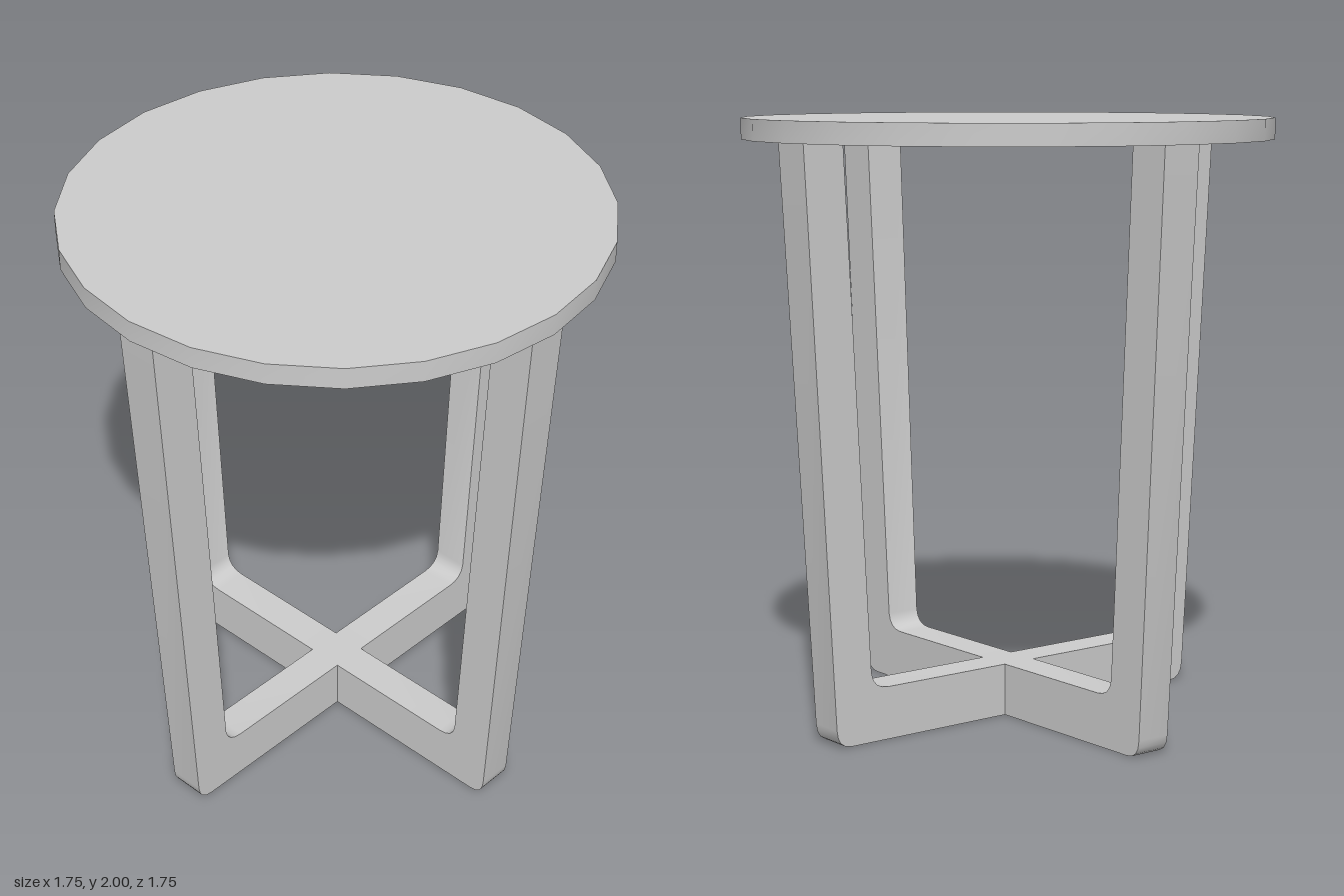
import * as THREE from 'three';
import { toCreasedNormals } from 'three/addons/utils/BufferGeometryUtils.js';

const TOP_Y = 1.93;   // underside of the table top
const BAR_Y = 0.175;  // upper face of the crossed foot bars
const HALF = 0.06;    // half the thickness at the floor

// Half-thickness grows slightly towards the top of a leg
const halfAt = (y) => HALF + 0.01 * (y / TOP_Y);

// L-shaped leg: foot bar and upright with rounded bends, running out along +x
function legGeometry() {
  const s = new THREE.Shape();
  s.moveTo(HALF, 0);
  s.lineTo(0.685, 0);
  s.quadraticCurveTo(0.74, 0, 0.743, 0.06);
  s.lineTo(0.852, TOP_Y);
  s.lineTo(0.705, TOP_Y);
  s.lineTo(0.608, 0.23);
  s.quadraticCurveTo(0.6, BAR_Y, 0.54, BAR_Y);
  s.lineTo(HALF, BAR_Y);
  s.closePath();
  const g = new THREE.ExtrudeGeometry(s, { depth: 2, bevelEnabled: false, curveSegments: 4 });
  g.translate(0, 0, -1);
  // Unit half-depth becomes the tapered thickness
  const p = g.attributes.position;
  for (let i = 0; i < p.count; i++) p.setZ(i, p.getZ(i) * halfAt(p.getY(i)));
  return toCreasedNormals(g, 0.8);
}

export function createModel() {
  const model = new THREE.Group();
  model.name = 'sideTable';
  const material = new THREE.MeshStandardMaterial({ color: 0xcccccc });
  const add = (name, geometry) => {
    const mesh = new THREE.Mesh(geometry, material);
    mesh.name = name;
    model.add(mesh);
    return mesh;
  };

  // Round top
  const thickness = 2 - TOP_Y;
  const top = toCreasedNormals(new THREE.CylinderGeometry(0.875, 0.875, thickness, 24), 0.5);
  add('tableTop', top).position.y = TOP_Y + thickness / 2;

  // Four legs around a square hub
  const leg = legGeometry();
  ['leftLeg', 'backLeg', 'rightLeg', 'frontLeg'].forEach((name, i) => {
    add(name, leg).rotation.y = i * Math.PI / 2;
  });
  add('crossHub', new THREE.BoxGeometry(2 * HALF, BAR_Y, 2 * HALF)).position.y = BAR_Y / 2;

  return model;
}
